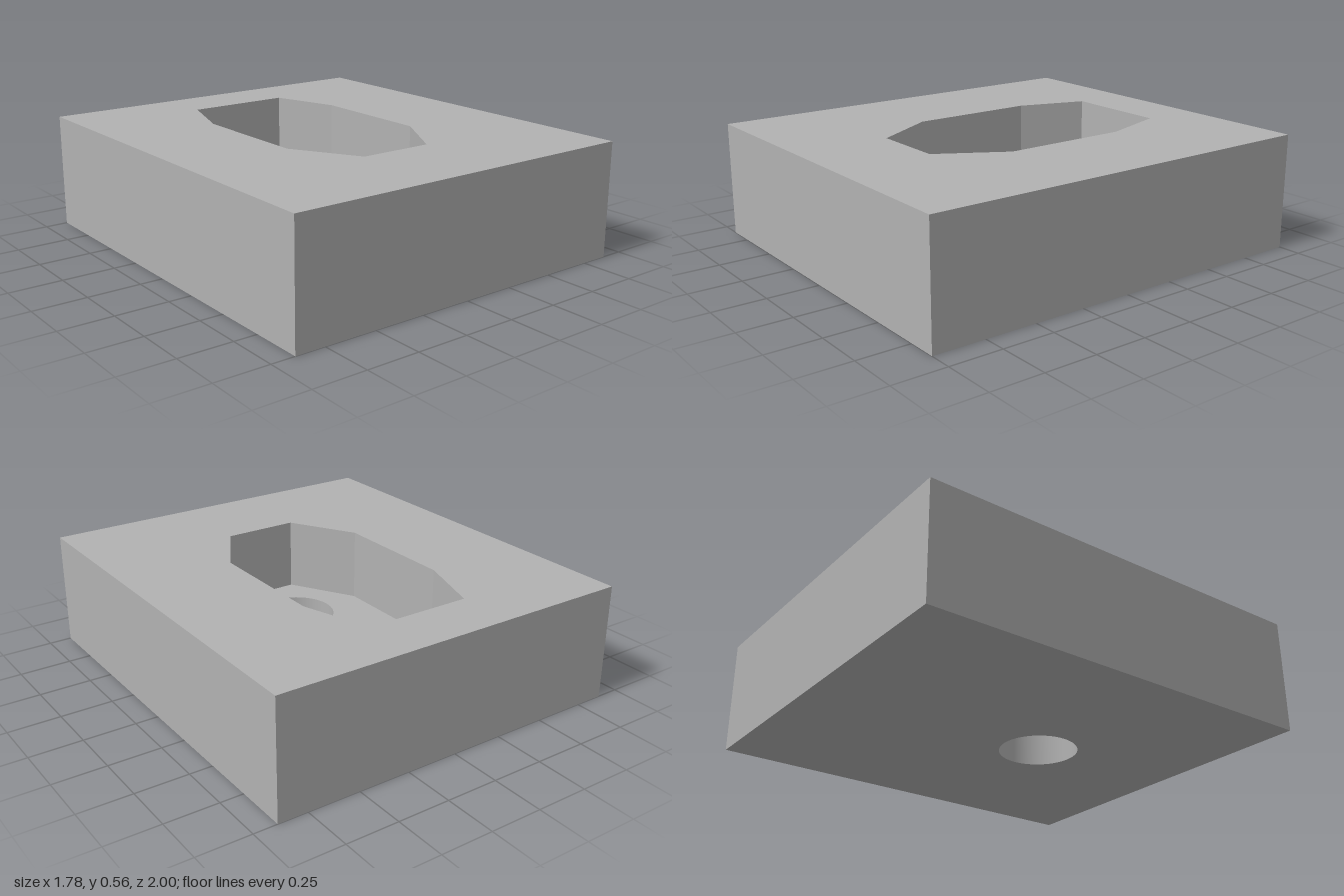
import * as THREE from 'three';

const W = 0.89, D = 1, H = 0.556, FLOOR = 0.208;
const BORE_Z = 0.218, BORE_R = 0.19;

// Outlines as [x, z]; the block runs outward-facing, the pocket inward-facing
const block = [[-W, D], [W, D], [W, -D], [-W, -D]];
const pocket = [
  [0.18, 0.532], [-0.18, 0.532], [-0.363, 0.217], [-0.363, -0.398],
  [-0.256, -0.727], [0.256, -0.727], [0.363, -0.398], [0.363, 0.217],
];

// Vertical walls along a closed outline
function walls(loop, y0, y1) {
  const p = [];
  loop.forEach(([ax, az], i) => {
    const [bx, bz] = loop[(i + 1) % loop.length];
    p.push(ax, y0, az, bx, y0, bz, bx, y1, bz, ax, y0, az, bx, y1, bz, ax, y1, az);
  });
  const g = new THREE.BufferGeometry();
  g.setAttribute('position', new THREE.Float32BufferAttribute(p, 3));
  g.computeVertexNormals();
  return g;
}

// Horizontal face with one hole, facing up (dir 1) or down (dir -1)
function face(loop, addHole, y, dir) {
  const toPlane = ([x, z]) => new THREE.Vector2(x, -z * dir);
  const shape = new THREE.Shape(loop.map(toPlane));
  const hole = new THREE.Path();
  addHole(hole, toPlane);
  shape.holes.push(hole);
  return new THREE.ShapeGeometry(shape, 32).rotateX(-dir * Math.PI / 2).translate(0, y, 0);
}

export function createModel() {
  const model = new THREE.Group();
  model.name = 'pocketedBlock';
  const grey = new THREE.MeshStandardMaterial({ color: 0xb2b2b2 });
  grey.name = 'grey';
  const add = (name, geometry) => {
    const mesh = new THREE.Mesh(geometry, grey);
    mesh.name = name;
    model.add(mesh);
  };

  const pocketHole = (path, toPlane) => path.setFromPoints(pocket.map(toPlane));
  const boreHole = (path, toPlane) => {
    const c = toPlane([0, BORE_Z]);
    path.absarc(c.x, c.y, BORE_R, 0, Math.PI * 2, true);
  };

  // Outer block
  add('outerWalls', walls(block, 0, H));
  add('topFace', face(block, pocketHole, H, 1));
  add('bottomFace', face(block, boreHole, 0, -1));

  // Eight-sided pocket
  add('pocketWalls', walls(pocket, FLOOR, H));
  add('pocketFloor', face(pocket, boreHole, FLOOR, 1));

  // Round through hole; the profile runs downward so that it faces inward
  const profile = [new THREE.Vector2(BORE_R, FLOOR), new THREE.Vector2(BORE_R, 0)];
  add('boreWall', new THREE.LatheGeometry(profile, 64).translate(0, 0, BORE_Z));

  return model;
}
